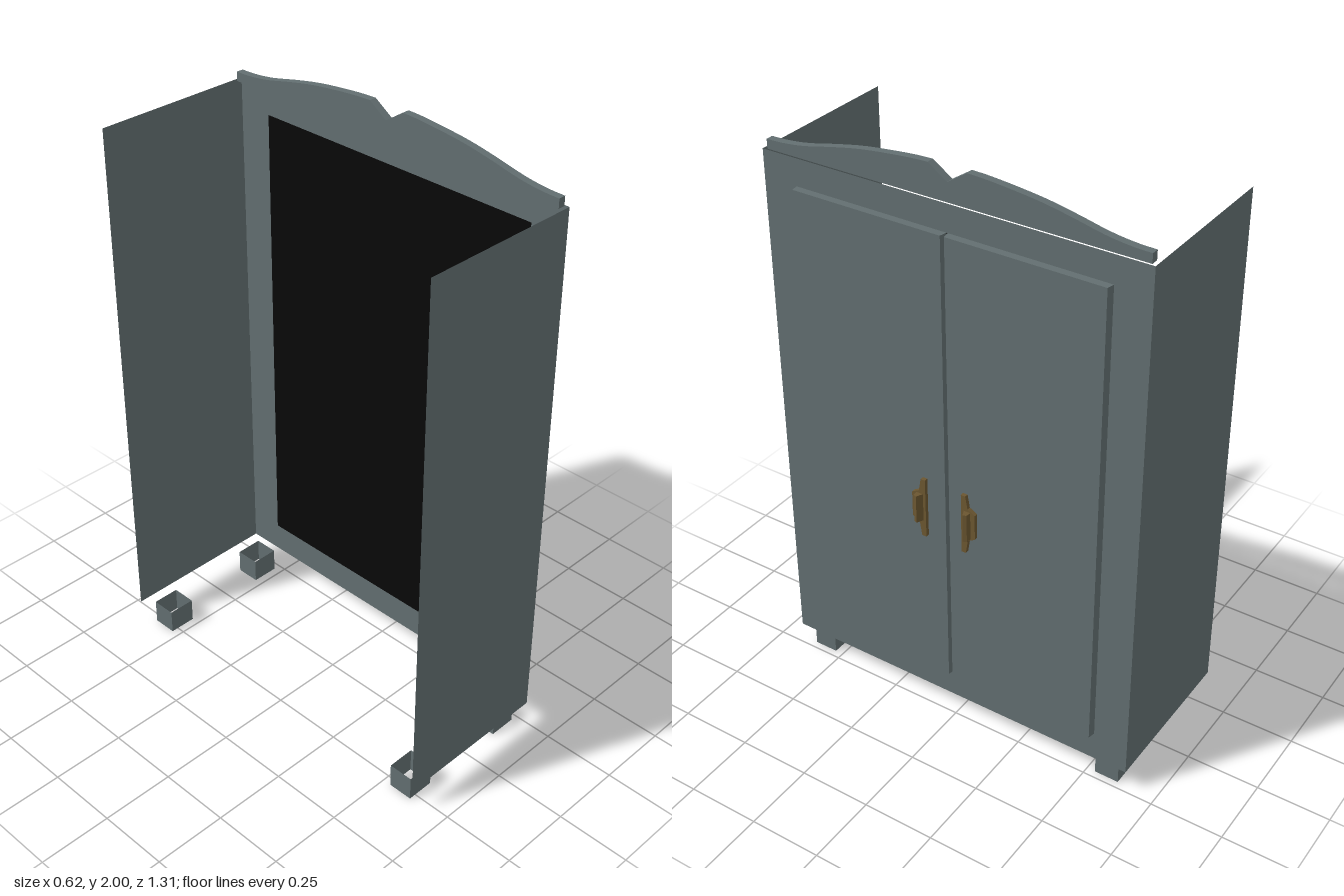
import * as THREE from 'three';

const paint = new THREE.MeshStandardMaterial({ color: 0x626e70, side: THREE.DoubleSide });
paint.name = 'grey paint';
const brass = new THREE.MeshStandardMaterial({ color: 0x6b5630, side: THREE.DoubleSide });
brass.name = 'aged brass';
const dark = new THREE.MeshStandardMaterial({ color: 0x080808, side: THREE.DoubleSide });
dark.name = 'dark interior';

const FRONT = 0.25, BACK = -0.31, HALF = 0.653, LOW = 0.085, HIGH = 1.895;
const OPEN = 0.53, SILL = 0.19, HEAD = 1.805;

// Shape from [z, y] points, facing +x once turned
const outline = (pts) => new THREE.Shape(pts.map(([z, y]) => new THREE.Vector2(-z, y)));
const rect = (z0, z1, y0, y1) => [[z0, y0], [z1, y0], [z1, y1], [z0, y1]];

function add(group, name, geometry, material, x = 0, y = 0, z = 0) {
  const mesh = new THREE.Mesh(geometry, material);
  mesh.name = name;
  mesh.position.set(x, y, z);
  group.add(mesh);
  return mesh;
}

const slab = (shape, depth) =>
  new THREE.ExtrudeGeometry(shape, { depth, bevelEnabled: false }).rotateY(Math.PI / 2);

// Pull handle; side is the sign of z
function makeHandle(side, inner) {
  const handle = new THREE.Group();
  handle.name = side > 0 ? 'rightHandle' : 'leftHandle';
  const plate = [[0, 0.74], [0.016, 0.74], [0.024, 0.79], [0.05, 0.805],
    [0.05, 0.895], [0.024, 0.91], [0.016, 0.955], [0, 0.955]];
  add(handle, 'handlePlate', slab(outline(plate.map(([z, y]) => [side * (inner + z), y])), 0.013), brass, 0.275);
  // Slanted grip, drawn in the x-z plane and extruded upwards
  const grip = [[0.286, 0.008], [0.296, 0.014], [0.31, 0.02], [0.305, 0.032], [0.286, 0.034]];
  const shape = new THREE.Shape(grip.map(([x, z]) => new THREE.Vector2(x, -side * (inner + z))));
  const geo = new THREE.ExtrudeGeometry(shape, { depth: 0.1, bevelEnabled: false }).rotateX(-Math.PI / 2);
  add(handle, 'handleGrip', geo, brass, 0, 0.8, 0);
  return handle;
}

export function createModel() {
  const model = new THREE.Group();
  model.name = 'wardrobe';

  // Face frame with door opening
  const frame = outline(rect(-HALF, HALF, LOW, HIGH));
  frame.holes.push(outline(rect(-OPEN, OPEN, SILL, HEAD)));
  add(model, 'frontFrame', new THREE.ShapeGeometry(frame).rotateY(Math.PI / 2), paint, FRONT);
  add(model, 'darkBacking', new THREE.PlaneGeometry(2 * OPEN, HEAD - SILL).rotateY(Math.PI / 2),
    dark, FRONT - 0.002, (SILL + HEAD) / 2);

  for (const side of [1, -1]) {
    // Thin side panel
    add(model, 'sidePanel', new THREE.PlaneGeometry(FRONT - BACK, HIGH - LOW), paint,
      (FRONT + BACK) / 2, (LOW + HIGH) / 2, side * HALF);

    // Door whose upright edges taper towards the face
    const door = new THREE.BoxGeometry(0.025, HEAD - SILL, 0.532);
    const p = door.attributes.position;
    for (let i = 0; i < p.count; i++) {
      if (p.getX(i) > 0) p.setZ(i, p.getZ(i) - Math.sign(p.getZ(i)) * 0.005);
    }
    door.computeVertexNormals();
    add(model, 'door', door, paint, FRONT + 0.0125, (SILL + HEAD) / 2, side * 0.268);

    model.add(makeHandle(side, side > 0 ? 0.073 : 0.06));

    // Feet: square tubes, open above and below
    for (const x of [-0.227, 0.178]) {
      const foot = new THREE.CylinderGeometry(Math.SQRT1_2, Math.SQRT1_2, LOW, 4, 1, true)
        .rotateY(Math.PI / 4).toNonIndexed();
      foot.scale(0.095, 1, 0.085);
      foot.computeVertexNormals();
      add(model, 'foot', foot, paint, x, LOW / 2, side * 0.572);
    }
  }

  // Curved crest with a centre notch
  const curve = new THREE.SplineCurve([[0.64, 1.926], [0.58, 1.928], [0.5, 1.938], [0.4, 1.96],
    [0.3, 1.979], [0.2, 1.991], [0.12, 1.998], [0.065, 2]].map(([z, y]) => new THREE.Vector2(z, y)));
  const half = curve.getPoints(24).map((v) => [v.x, Math.min(v.y, 2)]);
  const mirrored = half.map(([z, y]) => [-z, y]).reverse();
  const crest = outline([[0.64, HIGH], ...half, [0, 1.957], ...mirrored, [-0.64, HIGH]]);
  add(model, 'crest', slab(crest, 0.025), paint, 0.219);

  return model;
}
